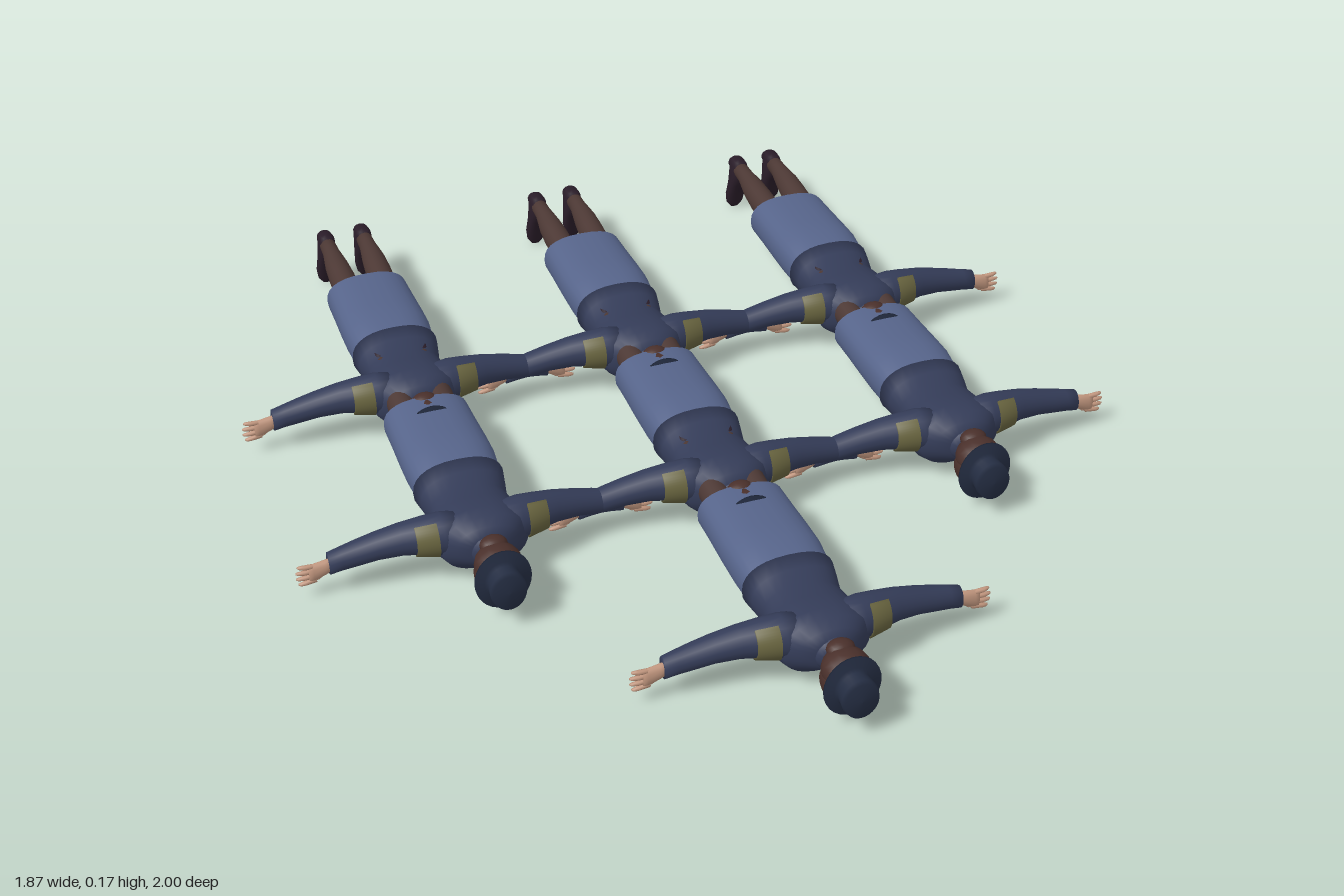
import * as THREE from 'three';

const mat = (name, color, side = THREE.FrontSide) => {
  const m = new THREE.MeshStandardMaterial({ color, side });
  m.name = name;
  return m;
};

// Elliptical sections [t, a, b, ra, rb] along an axis; a and b are the centre, ra and rb the radii.
// Axis y: a = x, b = z.  Axis x: a = z, b = y.  Axis z: a = y, b = x.
function loft(sections, { axis = 'y', sides = 20, caps = true, power = 1, arc = null } = {}) {
  const pos = [], idx = [];
  const put = (a, t, b) => {
    if (axis === 'y') pos.push(a, t, b);
    else if (axis === 'x') pos.push(t, b, a);
    else pos.push(b, a, t);
  };
  const bend = (v) => Math.sign(v) * Math.abs(v) ** power;
  const [from, to] = arc || [0, Math.PI * 2];
  for (const [t, a, b, ra, rb] of sections) {
    for (let i = 0; i < sides; i++) {
      const q = from + (to - from) * i / (arc ? sides - 1 : sides);
      put(a + ra * bend(Math.cos(q)), t, b + rb * bend(Math.sin(q)));
    }
  }
  const span = arc ? sides - 1 : sides;
  for (let r = 0; r < sections.length - 1; r++) {
    for (let i = 0; i < span; i++) {
      const n = (i + 1) % sides, p = r * sides, u = p + sides;
      idx.push(p + i, u + i, p + n, u + i, u + n, p + n);
    }
  }
  if (caps && !arc) {
    [0, sections.length - 1].forEach((r, top) => {
      const c = pos.length / 3, p = r * sides;
      put(sections[r][1], sections[r][0], sections[r][2]);
      for (let i = 0; i < sides; i++) {
        const n = (i + 1) % sides;
        if (top) idx.push(c, p + n, p + i);
        else idx.push(c, p + i, p + n);
      }
    });
  }
  const g = new THREE.BufferGeometry();
  g.setAttribute('position', new THREE.Float32BufferAttribute(pos, 3));
  g.setIndex(idx);
  g.computeVertexNormals();
  return g;
}

// Reflects a geometry in x and restores its winding
function mirror(geometry) {
  const g = geometry.clone().scale(-1, 1, 1), ix = g.index;
  for (let i = 0; i < ix.count; i += 3) {
    const b = ix.getX(i + 1);
    ix.setX(i + 1, ix.getX(i + 2));
    ix.setX(i + 2, b);
  }
  g.computeVertexNormals();
  return g;
}

const ball = (x, y, z, rx, ry, rz) =>
  new THREE.SphereGeometry(1, 16, 12).scale(rx, ry, rz).translate(x, y, z);

// One standing figure, facing +z, feet at y = 0
function createFigure() {
  const fig = new THREE.Group();
  const jacket = mat('navy jacket', 0x343c58), skirt = mat('blue skirt', 0x56648a, THREE.DoubleSide);
  const hat = mat('dark navy hat', 0x242d42), skin = mat('skin', 0xc2977f);
  const hair = mat('brown hair', 0x4a302b), stocking = mat('brown stocking', 0x4c3834);
  const shoe = mat('dark shoe', 0x2a1d29), olive = mat('olive patch', 0x68643f, THREE.DoubleSide);
  const leather = mat('maroon leather', 0x3a2328);
  const add = (name, geometry, material) => {
    const m = new THREE.Mesh(geometry, material);
    m.name = name;
    fig.add(m);
  };
  const pair = (name, geometry, material) => {
    add('left ' + name, geometry, material);
    add('right ' + name, mirror(geometry), material);
  };

  // Clothes on the body
  add('skirt', loft([
    [0.25, 0, 0.005, 0.097, 0.057], [0.32, 0, 0.002, 0.098, 0.058], [0.40, 0, -0.001, 0.1, 0.06],
    [0.46, 0, -0.003, 0.1, 0.063], [0.52, 0, 0, 0.095, 0.061], [0.56, 0, 0.003, 0.086, 0.056],
  ], { sides: 28, power: 0.8, caps: false }), skirt);
  add('jacket', loft([
    [0.522, 0, 0, 0.101, 0.067], [0.56, 0, 0.003, 0.094, 0.062], [0.60, 0, 0.009, 0.086, 0.059],
    [0.65, 0, 0.007, 0.092, 0.067], [0.70, 0, 0.006, 0.1, 0.073], [0.73, 0, 0.002, 0.093, 0.066],
    [0.752, 0, -0.002, 0.068, 0.049], [0.768, 0, -0.003, 0.04, 0.036],
  ], { sides: 28, power: 0.85 }), jacket);
  add('collar', loft([
    [0.752, 0, -0.002, 0.046, 0.043], [0.77, 0, -0.002, 0.04, 0.038], [0.784, 0, -0.004, 0.03, 0.03],
  ]), jacket);
  add('waist pouch', ball(0, 0.555, 0.07, 0.03, 0.021, 0.022), leather);

  // Head, hair and hat
  add('neck', new THREE.CylinderGeometry(0.025, 0.028, 0.06, 16).translate(0, 0.785, 0.002), skin);
  add('face', loft([
    [0.766, 0, 0.04, 0.013, 0.014], [0.775, 0, 0.029, 0.027, 0.03], [0.795, 0, 0.016, 0.039, 0.044],
    [0.825, 0, 0.012, 0.044, 0.049], [0.85, 0, 0.01, 0.043, 0.048], [0.868, 0, 0.006, 0.036, 0.04],
  ]), skin);
  add('nose', ball(0, 0.812, 0.061, 0.006, 0.011, 0.009), skin);
  add('mouth', ball(0, 0.79, 0.054, 0.012, 0.003, 0.006), leather);
  add('hair', ball(0, 0.826, -0.011, 0.051, 0.05, 0.044), hair);
  add('hair bun', ball(0, 0.795, -0.038, 0.03, 0.024, 0.02), hair);
  pair('eye', ball(0.018, 0.825, 0.055, 0.007, 0.004, 0.004), shoe);
  pair('side hair', ball(0.041, 0.83, 0.012, 0.011, 0.032, 0.027), hair);
  const hatProfile = [[0, 0.852], [0.045, 0.852], [0.061, 0.856], [0.061, 0.86], [0.041, 0.863],
    [0.036, 0.87], [0.039, 0.897], [0.036, 0.907], [0, 0.91]];
  add('hat', new THREE.LatheGeometry(hatProfile.map(([r, y]) => new THREE.Vector2(r, y)), 28)
    .scale(1, 1, 1.18).translate(0, 0, 0.006), hat);

  // Arms and shoulder patches
  pair('sleeve', loft([
    [0.05, -0.006, 0.695, 0.052, 0.046], [0.085, -0.013, 0.692, 0.048, 0.046],
    [0.12, -0.014, 0.686, 0.041, 0.042], [0.17, -0.009, 0.676, 0.035, 0.035],
    [0.22, 0.001, 0.668, 0.03, 0.031], [0.26, 0.01, 0.665, 0.028, 0.028],
    [0.295, 0.018, 0.663, 0.026, 0.024], [0.322, 0.024, 0.663, 0.026, 0.02],
  ], { axis: 'x' }), jacket);
  pair('shoulder patch', loft([
    [0.098, -0.014, 0.689, 0.04, 0.045], [0.098, -0.014, 0.689, 0.05, 0.051],
    [0.143, -0.012, 0.681, 0.043, 0.045], [0.143, -0.012, 0.681, 0.035, 0.038],
  ], { axis: 'x', arc: [Math.PI * 0.12, Math.PI * 0.85] }), olive);

  // Hands with palms turned down
  pair('palm', loft([
    [0.31, 0.025, 0.663, 0.015, 0.011], [0.33, 0.031, 0.664, 0.018, 0.011],
    [0.355, 0.037, 0.665, 0.022, 0.009], [0.365, 0.039, 0.665, 0.02, 0.007],
  ], { axis: 'x', sides: 12 }), skin);
  for (let i = 0; i < 4; i++) {
    const z = 0.022 + i * 0.0115, end = 0.39 - 0.004 * Math.abs(i - 1.5);
    pair('finger ' + (i + 1), loft([
      [0.35, z, 0.665, 0.006, 0.006], [0.375, z + (i - 1) * 0.002, 0.665, 0.0055, 0.0055],
      [end, z + (i - 1) * 0.003, 0.664, 0.004, 0.004], [end + 0.004, z + (i - 1) * 0.003, 0.663, 0.002, 0.002],
    ], { axis: 'x', sides: 8 }), skin);
  }
  pair('thumb', loft([
    [0.325, 0.04, 0.661, 0.006, 0.007], [0.345, 0.056, 0.659, 0.006, 0.006], [0.363, 0.063, 0.658, 0.003, 0.003],
  ], { axis: 'x', sides: 8 }), skin);

  // Legs and shoes
  pair('leg', loft([
    [0.04, 0.046, -0.022, 0.019, 0.021], [0.08, 0.046, -0.022, 0.02, 0.022],
    [0.14, 0.046, -0.016, 0.028, 0.031], [0.19, 0.045, -0.011, 0.031, 0.034],
    [0.25, 0.044, -0.008, 0.031, 0.034], [0.32, 0.044, -0.004, 0.037, 0.038],
  ]), stocking);
  pair('shoe', loft([
    [-0.044, 0.028, 0.046, 0.022, 0.014], [-0.034, 0.029, 0.046, 0.029, 0.02],
    [-0.005, 0.03, 0.046, 0.03, 0.022], [0.025, 0.023, 0.047, 0.021, 0.023],
    [0.06, 0.015, 0.049, 0.015, 0.025], [0.085, 0.012, 0.05, 0.012, 0.021], [0.1, 0.01, 0.05, 0.006, 0.01],
  ], { axis: 'z', power: 0.8 }), shoe);
  pair('shoe heel', new THREE.CylinderGeometry(0.018, 0.017, 0.018, 14).translate(0.046, 0.009, -0.024), shoe);
  return fig;
}

export function createModel() {
  const model = new THREE.Group();
  model.name = 'figure formation';
  const figure = createFigure();
  const step = 0.545;
  // Rows of figures lying face down, heads towards +z
  const places = [[-1, 0], [0, 0], [1, 0], [-1, 1], [0, 1], [1, 1], [0, 2]];
  places.forEach(([column, row], i) => {
    const f = figure.clone();
    f.name = 'figure ' + (i + 1);
    f.rotation.x = Math.PI / 2;
    f.position.set(column * step, 0.1, -1 + row * step);
    model.add(f);
  });
  return model;
}
